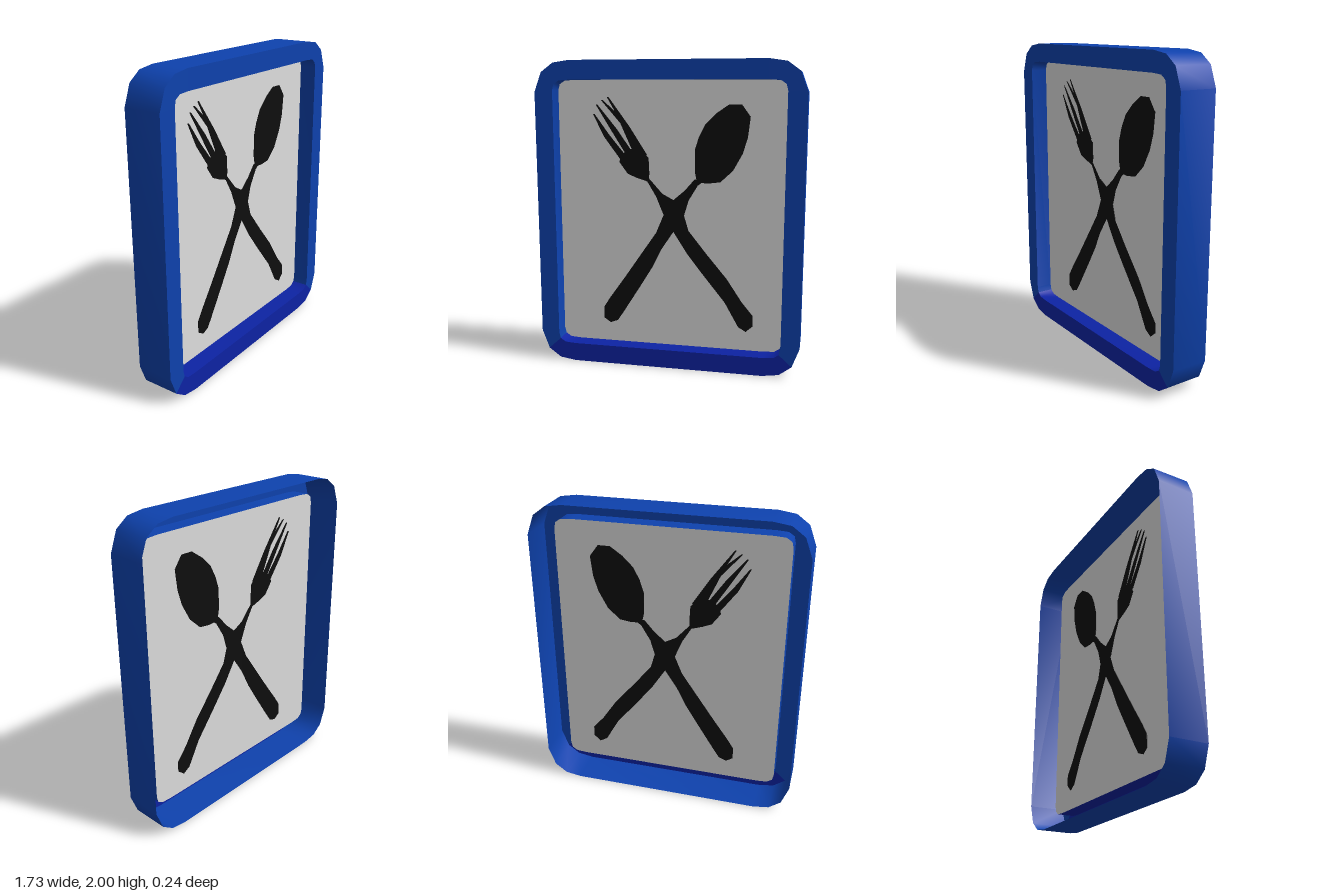
import * as THREE from 'three';
import { toCreasedNormals } from 'three/addons/utils/BufferGeometryUtils.js';

const mat = (name, color) => {
  const m = new THREE.MeshStandardMaterial({ color, side: THREE.DoubleSide });
  m.name = name;
  return m;
};

// Mirrors one corner (x, y from the centre) into a closed counterclockwise ring of 16 points
function ring(corner) {
  const flip = (sx, sy) => corner.map(([x, y]) => new THREE.Vector2(x * sx, 1 + y * sy));
  return [...flip(1, 1), ...flip(-1, 1).reverse(), ...flip(-1, -1), ...flip(1, -1).reverse()];
}

// Joins rings [points, z] with quads, over the chosen segments of the ring
function band(rings, segments) {
  const pos = [];
  for (let k = 0; k < rings.length - 1; k++) {
    const [A, za] = rings[k], [B, zb] = rings[k + 1];
    for (const i of segments) {
      const j = (i + 1) % A.length;
      const a = [A[i].x, A[i].y, za], b = [A[j].x, A[j].y, za];
      const c = [B[j].x, B[j].y, zb], d = [B[i].x, B[i].y, zb];
      pos.push(...a, ...b, ...c, ...a, ...c, ...d);
    }
  }
  const g = new THREE.BufferGeometry();
  g.setAttribute('position', new THREE.Float32BufferAttribute(pos, 3));
  return toCreasedNormals(g, 0.75);
}

export function createModel() {
  const model = new THREE.Group();
  const blue = mat('frame blue', 0x0e42ae);
  const indigo = mat('lower rim indigo', 0x0d23a4);
  const grey = mat('panel grey', 0xdedede);
  const black = mat('cutlery black', 0x0e0e0e);

  const add = (name, geometry, material, parent = model) => {
    const mesh = new THREE.Mesh(geometry, material);
    mesh.name = name;
    parent.add(mesh);
    return mesh;
  };

  // Frame: open-backed shell with a flat front rim and a short inner wall
  const D = 0.122, PANEL_Z = 0.01;
  const outer = ring([[0.865, 0.8], [0.818, 0.925], [0.738, 0.984], [0.63, 1]]);
  const inner = ring([[0.745, 0.81], [0.735, 0.85], [0.7, 0.873], [0.63, 0.878]]);
  const all = outer.map((_, i) => i);
  const low = i => i >= 9 && i <= 13;
  const rim = [[outer, D], [inner, D], [inner, PANEL_Z]];
  add('outerWall', band([[outer, -D], [outer, D]], all), blue);
  add('upperRim', band(rim, all.filter(i => !low(i))), blue);
  add('lowerRim', band(rim, all.filter(low)), indigo);

  // Panel closing the opening
  add('panel', new THREE.ShapeGeometry(new THREE.Shape(inner)), grey).position.z = PANEL_Z;

  // Cutlery: thin plates standing just proud of both panel faces
  const cutlery = new THREE.Group();
  cutlery.name = 'crossedCutlery';
  cutlery.position.z = PANEL_Z - 0.004;
  model.add(cutlery);
  const plate = (name, pts) => {
    const shape = new THREE.Shape(pts.map(([x, y]) => new THREE.Vector2(x / 100, y / 100)));
    add(name, new THREE.ExtrudeGeometry(shape, { depth: 0.008, bevelEnabled: false }), black, cutlery);
  };

  plate('spoonBowl', [[18, 123], [16.5, 130], [16.5, 144], [19, 152], [23, 160], [30, 167], [38, 172.5],
    [46, 172.5], [51.5, 165], [50, 152], [47, 142], [41, 131], [33, 123.5], [25, 122.5]]);
  plate('spoonHandle', [[16.5, 125], [10, 117.5], [2.5, 111], [-4, 101], [-9, 89], [-20, 73], [-31, 57],
    [-41, 43], [-45.5, 36], [-45.5, 28], [-41, 25], [-36, 27], [-32, 33], [-20, 52], [-12, 65], [-5.5, 78],
    [2.5, 90], [9.5, 101], [12.5, 111], [18.5, 121], [22, 123.5]]);
  plate('forkHandle', [[-14, 125], [-5, 115], [2.5, 111], [9.5, 101], [12.5, 91], [24.5, 76], [38, 60],
    [48, 45], [55.5, 36], [55.5, 29], [51, 25], [46, 28], [37, 44], [22, 62.5], [11.5, 76], [2.5, 90],
    [-4, 101], [-9, 113], [-15, 123]]);
  plate('forkHead', [[-14, 122.5], [-22, 125], [-28, 127.5], [-33.5, 135], [-32.5, 140], [-25, 144],
    [-19, 143], [-14, 138], [-13.5, 128]]);

  // Fork tines: base, bend and tip, each tapering to a point
  const tines = [
    [[-31, 138], [-42, 152], [-50.5, 166]],
    [[-27, 141], [-37, 156], [-48.5, 172]],
    [[-22, 142], [-31, 161], [-45, 175]],
    [[-17, 139], [-28, 157], [-41, 177]],
  ];
  for (const [[bx, by], [mx, my], [tx, ty]] of tines) {
    plate('forkTine', [[bx - 2, by - 1], [bx + 2, by + 1], [mx + 1.6, my + 0.8],
      [tx + 0.5, ty], [tx - 0.5, ty], [mx - 1.6, my - 0.8]]);
  }
  return model;
}
